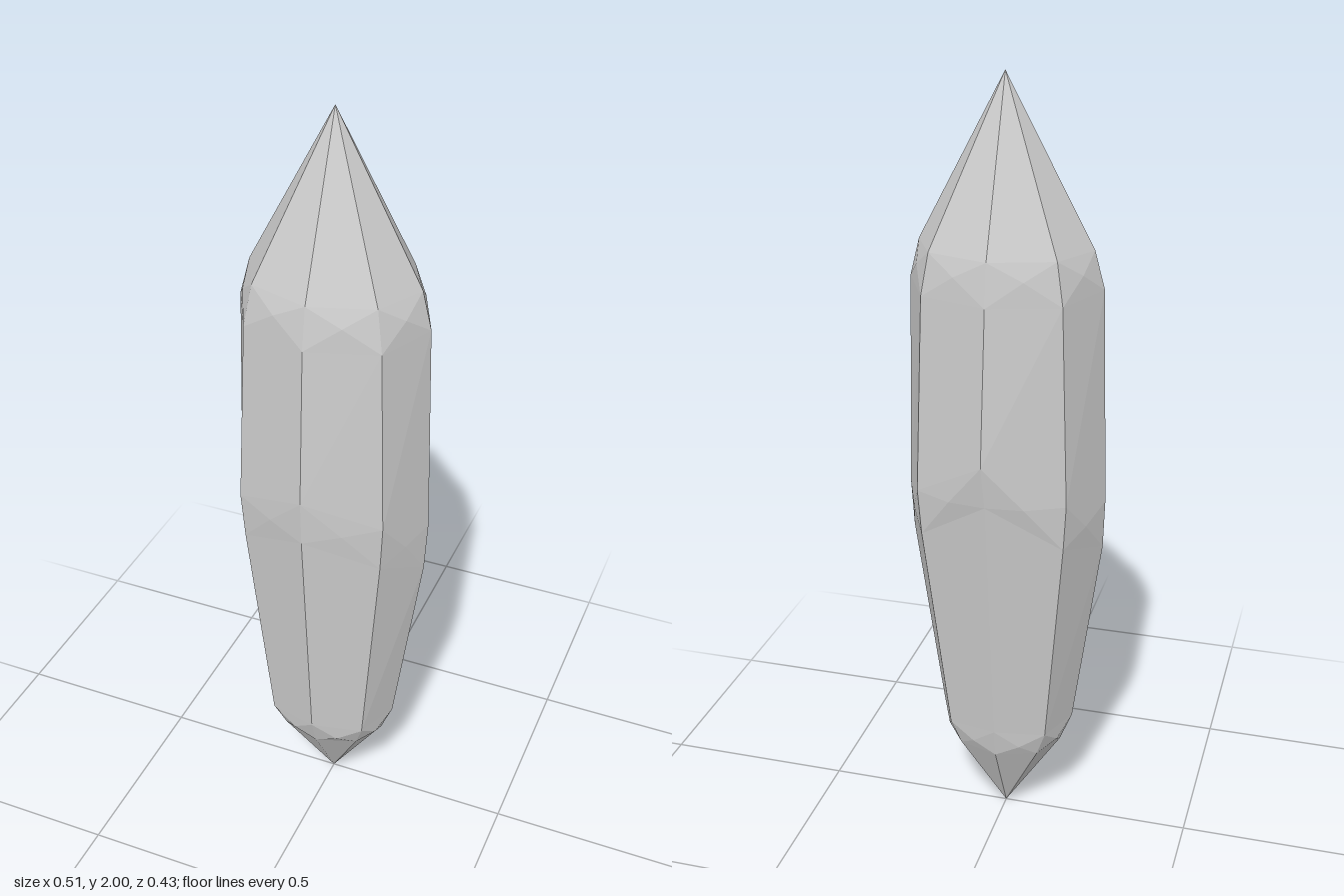
import * as THREE from 'three';

// Five corners from front to back on the left side, mirrored into a ring of eight
function ring(half) {
  const left = half.map((p) => new THREE.Vector3(...p));
  const right = left.slice(1, 4).reverse().map((p) => new THREE.Vector3(-p.x, p.y, p.z));
  return [...left, ...right];
}

// Points halfway between neighbouring corners of two rings, scaled sideways and set to a height
function midRing(corners, scale, height) {
  return corners.map((p, i) => {
    const m = p.clone().add(corners[(i + 1) % 8]).multiplyScalar(0.5);
    return new THREE.Vector3(m.x * scale, height(m.y), m.z * scale);
  });
}

export function createModel() {
  // Corner rings from bottom to top
  const tipLow = ring([[0, 0.22, 0.13], [0.105, 0.22, 0.095], [0.148, 0.22, 0.012], [0.105, 0.22, -0.075], [0, 0.22, -0.11]]);
  const tipHigh = ring([[0, 0.3, 0.157], [0.13, 0.29, 0.118], [0.18, 0.3, 0.015], [0.13, 0.29, -0.088], [0, 0.3, -0.125]]);
  const waistLow = ring([[0, 0.96, 0.208], [0.183, 0.89, 0.145], [0.252, 0.82, 0.01], [0.183, 0.87, -0.138], [0, 0.99, -0.2]]);
  const waistHigh = ring([[0, 1.08, 0.212], [0.19, 1.015, 0.15], [0.257, 0.95, 0.003], [0.19, 0.99, -0.143], [0.005, 1.1, -0.215]]);
  const crownLow = ring([[0, 1.49, 0.187], [0.172, 1.49, 0.133], [0.242, 1.5, 0], [0.172, 1.49, -0.135], [0, 1.49, -0.19]]);
  const crownHigh = ring([[0, 1.595, 0.168], [0.155, 1.595, 0.118], [0.217, 1.595, -0.004], [0.155, 1.595, -0.124], [0, 1.595, -0.174]]);

  // Bevel points between the corners
  const tipMid = midRing(tipHigh, 0.97, () => 0.25);
  const waistMid = midRing(waistHigh, 1.005, (y) => y - 0.06);
  const crownMid = midRing(crownLow, 0.985, () => 1.55);
  const bottom = new THREE.Vector3(0, 0, 0);
  const top = new THREE.Vector3(0, 2, -0.008);

  const points = [];
  const tri = (a, b, c) => points.push(a, b, c);
  const quad = (a, b, c, d) => { tri(a, b, c); tri(a, c, d); };

  for (let i = 0; i < 8; i++) {
    const j = (i + 1) % 8, h = (i + 7) % 8;

    // Pointed ends
    tri(bottom, tipLow[j], tipLow[i]);
    tri(tipLow[i], tipLow[j], tipMid[i]);
    tri(crownHigh[i], crownHigh[j], top);
    tri(crownMid[i], crownHigh[j], crownHigh[i]);

    // Lower and upper body facets, with points reaching into the bevels
    for (const [midA, a, b, midB] of [[tipMid, tipHigh, waistLow, waistMid], [waistMid, waistHigh, crownLow, crownMid]]) {
      tri(midA[i], a[j], a[i]);
      quad(a[i], a[j], b[j], b[i]);
      tri(b[i], b[j], midB[i]);
    }

    // Diamond bevels on every corner
    for (const [low, mid, high] of [[tipLow, tipMid, tipHigh], [waistLow, waistMid, waistHigh], [crownLow, crownMid, crownHigh]]) {
      tri(low[i], mid[i], high[i]);
      tri(low[i], high[i], mid[h]);
    }
  }

  const geometry = new THREE.BufferGeometry().setFromPoints(points);
  geometry.computeVertexNormals();
  const crystal = new THREE.Mesh(geometry, new THREE.MeshStandardMaterial({ color: 0xcccccc, flatShading: true }));
  crystal.name = 'crystal';

  const group = new THREE.Group();
  group.name = 'crystalShard';
  group.add(crystal);
  return group;
}
